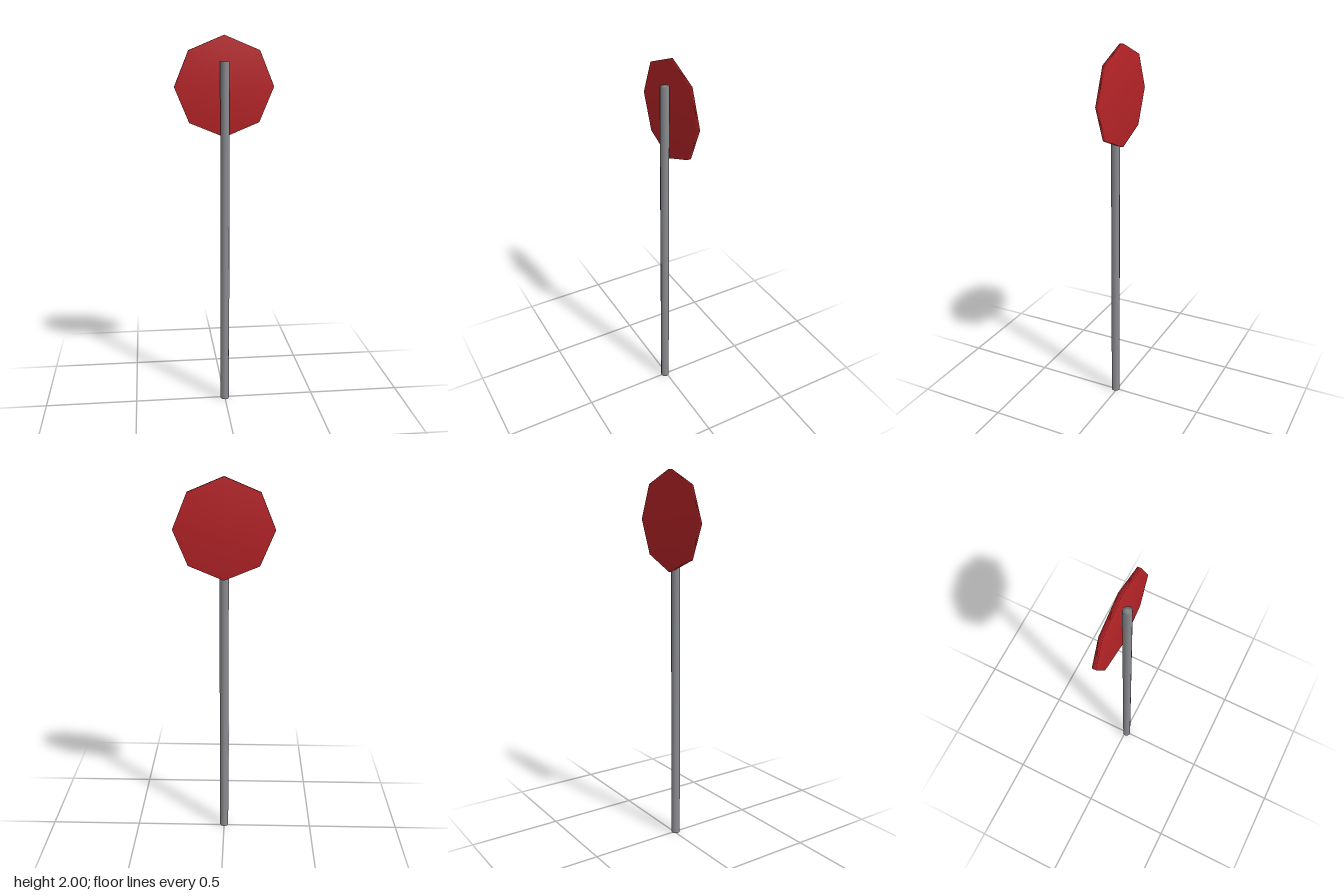
import * as THREE from 'three';
import { mergeVertices } from 'three/addons/utils/BufferGeometryUtils.js';

// Eight-sided prism with normals shared across all its edges
function softOctagonPrism(radius, height) {
  const geometry = new THREE.CylinderGeometry(radius, radius, height, 8);
  geometry.deleteAttribute('normal');
  geometry.deleteAttribute('uv');
  const merged = mergeVertices(geometry, 1e-5);
  merged.computeVertexNormals();
  return merged;
}

export function createModel() {
  const red = new THREE.MeshStandardMaterial({ color: 0xb82428 });
  red.name = 'sign red';
  const grey = new THREE.MeshStandardMaterial({ color: 0x8c8d91 });
  grey.name = 'pole grey';

  const model = new THREE.Group();
  model.name = 'roadSign';

  // Upright pole
  const pole = new THREE.Mesh(softOctagonPrism(0.024, 1.87), grey);
  pole.name = 'pole';
  pole.position.set(0, 0.935, 0.009);
  model.add(pole);

  // Octagonal plate behind the pole, one corner pointing up
  const plate = new THREE.Mesh(softOctagonPrism(0.258, 0.02), red);
  plate.name = 'signPlate';
  plate.rotation.x = Math.PI / 2;
  plate.position.set(0, 1.742, -0.024);
  model.add(plate);

  return model;
}
